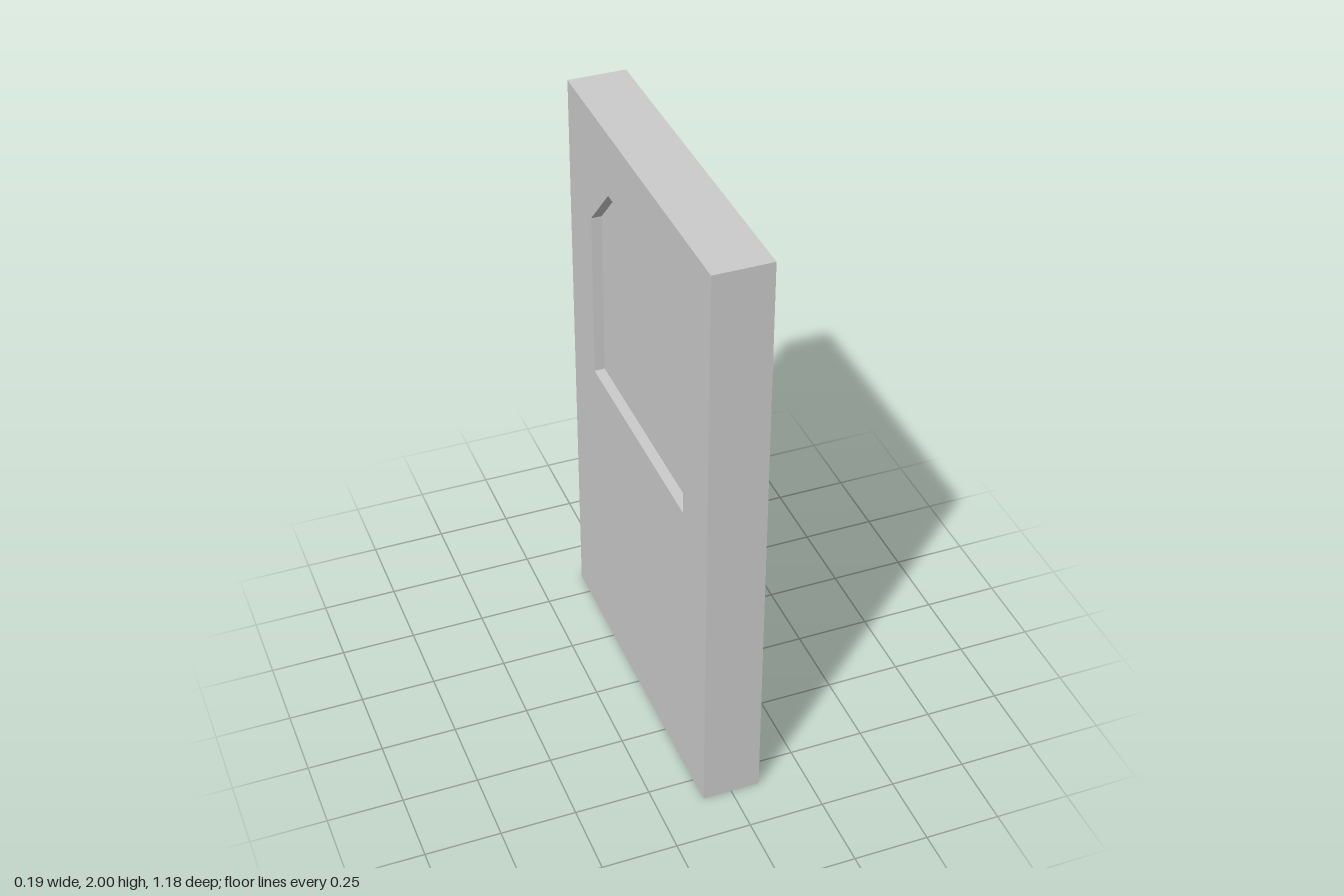
import * as THREE from 'three';

const THICKNESS = 0.192, HALF_WIDTH = 0.59, HEIGHT = 2, RECESS = 0.035;

// Window outline with clipped upper corners
const windowOutline = [
  [-0.395, 1.034], [0.395, 1.034], [0.395, 1.616],
  [0.232, 1.788], [-0.232, 1.788], [-0.395, 1.616],
].map(([x, y]) => new THREE.Vector2(x, y));

// Extrude a profile to a given depth, centred on the thickness of the door
function slab(name, shape, depth, material) {
  const geometry = new THREE.ExtrudeGeometry(shape, { depth, bevelEnabled: false });
  geometry.translate(0, 0, -depth / 2);
  geometry.rotateY(Math.PI / 2);
  const mesh = new THREE.Mesh(geometry, material);
  mesh.name = name;
  return mesh;
}

export function createModel() {
  const group = new THREE.Group();
  group.name = 'door';
  const material = new THREE.MeshStandardMaterial({ color: 0xcccccc, flatShading: true });

  // Door leaf with the window opening
  const leaf = new THREE.Shape([
    new THREE.Vector2(-HALF_WIDTH, 0), new THREE.Vector2(HALF_WIDTH, 0),
    new THREE.Vector2(HALF_WIDTH, HEIGHT), new THREE.Vector2(-HALF_WIDTH, HEIGHT),
  ]);
  leaf.holes.push(new THREE.Path(windowOutline));
  group.add(slab('doorLeaf', leaf, THICKNESS, material));

  // Pane filling the opening, set back from both faces
  const pane = new THREE.Shape(windowOutline);
  group.add(slab('windowPane', pane, THICKNESS - 2 * RECESS, material));

  return group;
}
